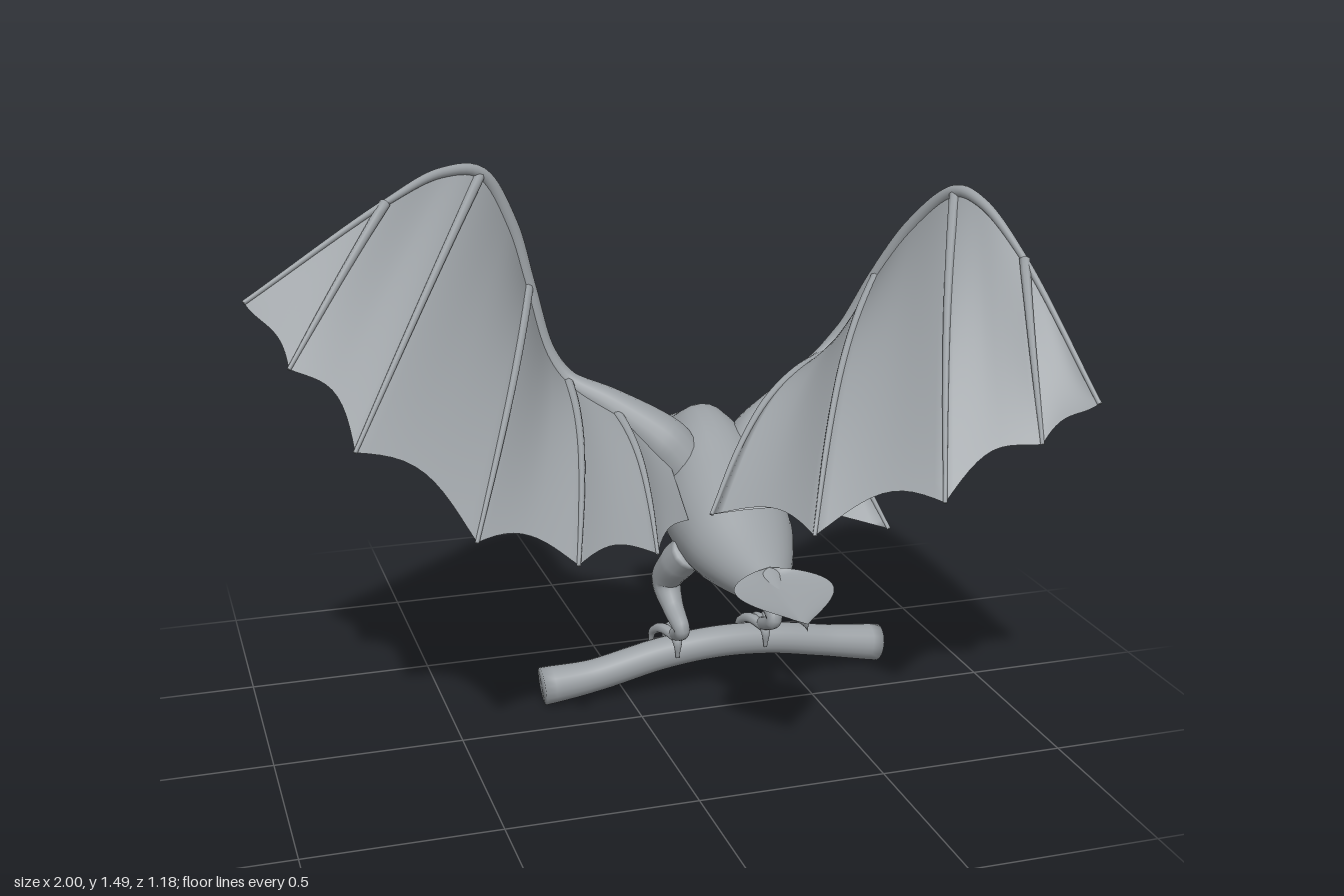
import * as THREE from 'three';
import { mergeVertices } from 'three/addons/utils/BufferGeometryUtils.js';

const V = (p) => new THREE.Vector3(...p);
const lerp = THREE.MathUtils.lerp;
const CX = 0.26; // centre line of the animal

// Weld seams and smooth the normals
function smooth(geo) {
  geo.deleteAttribute('uv');
  geo.deleteAttribute('normal');
  const g = mergeVertices(geo, 1e-5);
  g.computeVertexNormals();
  return g;
}

// Smooth surface from a rule fn(u, v) -> [x, y, z]
function surface(nu, nv, fn) {
  const pos = [], idx = [];
  for (let i = 0; i <= nu; i++) for (let j = 0; j <= nv; j++) pos.push(...fn(i / nu, j / nv));
  for (let i = 0; i < nu; i++) for (let j = 0; j < nv; j++) {
    const a = i * (nv + 1) + j, b = a + nv + 1;
    idx.push(a, a + 1, b, a + 1, b + 1, b);
  }
  const g = new THREE.BufferGeometry();
  g.setAttribute('position', new THREE.Float32BufferAttribute(pos, 3));
  g.setIndex(idx);
  return smooth(g);
}

// Tube with a radius at each path point and flat closed ends
function limb(points, radii, segs = 32, sides = 12) {
  const curve = new THREE.CatmullRomCurve3(points.map(V));
  const g = new THREE.TubeGeometry(curve, segs, 1, sides);
  const p = g.attributes.position, v = new THREE.Vector3();
  for (let i = 0; i <= segs; i++) {
    const u = i / segs, c = curve.getPointAt(u);
    const k = curve.getUtoTmapping(u) * (radii.length - 1);
    const n = Math.min(Math.floor(k), radii.length - 2);
    const end = i === 0 || i === segs;
    const r = end ? 0 : lerp(radii[n], radii[n + 1], k - n);
    const to = i === 1 ? curve.getPointAt(0) : i === segs - 1 ? curve.getPointAt(1) : c;
    for (let j = 0; j <= sides; j++) {
      const q = i * (sides + 1) + j;
      v.fromBufferAttribute(p, q).sub(c).multiplyScalar(r).add(to);
      p.setXYZ(q, v.x, v.y, v.z);
    }
  }
  return smooth(g);
}

// Points of the leading edge that carry a finger
const RIBS = [0, 1, 3, 5, 7, 8, 9];
const BOW = [0, 0.3, 0.6, 1, 1, 0.8, 0];

const WINGS = {
  rightWing: {
    edge: [[-1, 1.24, 0.01], [-0.62, 1.425, -0.18], [-0.45, 1.475, -0.29], [-0.34, 1.46, -0.335], [-0.26, 1.32, -0.35],
      [-0.215, 1.15, -0.345], [-0.17, 0.97, -0.325], [-0.12, 0.89, -0.305], [-0.01, 0.82, -0.255], [0.12, 0.72, -0.2]],
    tips: [[-1, 1.24, 0.01], [-0.915, 1.1, 0.13], [-0.79, 0.93, 0.29], [-0.53, 0.72, 0.41], [-0.28, 0.63, 0.4],
      [-0.04, 0.585, 0.27], [0.12, 0.575, 0.03]],
    bow: [0.03, 0.05, -0.03], root: [0.19, 0.63, -0.17],
  },
  leftWing: {
    edge: [[0.995, 0.98, 0.585], [0.95, 1.27, 0.24], [0.915, 1.385, 0.05], [0.89, 1.395, -0.06], [0.83, 1.28, -0.19],
      [0.765, 1.13, -0.27], [0.7, 0.98, -0.315], [0.64, 0.9, -0.32], [0.53, 0.82, -0.255], [0.4, 0.72, -0.2]],
    tips: [[0.995, 0.98, 0.585], [0.86, 0.88, 0.56], [0.61, 0.75, 0.55], [0.33, 0.64, 0.4], [0.16, 0.61, 0.1],
      [0.59, 0.585, 0.27], [0.4, 0.575, 0.03]],
    bow: [-0.02, 0.08, 0], root: [0.33, 0.63, -0.17],
  },
};

export function createModel() {
  const model = new THREE.Group();
  const grey = new THREE.MeshStandardMaterial({ color: 0x9a9fa3 });
  grey.name = 'stone grey';
  const sheet = new THREE.MeshStandardMaterial({ color: 0x9a9fa3, side: THREE.DoubleSide });
  sheet.name = 'stone grey sheet';
  const add = (name, geo, parent = model, mat = grey) => {
    const m = new THREE.Mesh(geo, mat);
    m.name = name;
    parent.add(m);
    return m;
  };

  // Body and head: z, centre height, half height, half width
  const stations = [
    [-0.595, 0.607, 0.002, 0.002], [-0.585, 0.612, 0.022, 0.035], [-0.53, 0.63, 0.058, 0.09], [-0.45, 0.63, 0.093, 0.125],
    [-0.38, 0.61, 0.14, 0.125], [-0.29, 0.595, 0.198, 0.122], [-0.2, 0.565, 0.212, 0.145], [-0.08, 0.54, 0.175, 0.16],
    [0.05, 0.51, 0.135, 0.148], [0.17, 0.478, 0.088, 0.105], [0.3, 0.455, 0.045, 0.045], [0.41, 0.445, 0.012, 0.012],
    [0.415, 0.445, 0.001, 0.001]];
  const spine = new THREE.CatmullRomCurve3(stations.map((s) => V([0, s[1], s[0]])));
  const girth = new THREE.CatmullRomCurve3(stations.map((s) => V([s[3], s[2], 0])));
  add('body', surface(60, 32, (u, v) => {
    const c = spine.getPoint(u), r = girth.getPoint(u), a = (v % 1) * Math.PI * 2;
    return [CX + Math.cos(a) * r.x, c.y + Math.sin(a) * r.y, c.z];
  }));

  // Tail fan, folded slightly along its middle
  add('tail', surface(20, 12, (u, v) => {
    const s = v * 2 - 1;
    return [CX + s * 0.13 * Math.sin(Math.PI * u ** 0.75), 0.495 - 0.045 * u + 0.02 * Math.abs(s), 0.27 + 0.275 * u];
  }), model, sheet);

  for (const [name, w] of Object.entries(WINGS)) {
    const wing = new THREE.Group();
    wing.name = name;
    model.add(wing);
    const edge = new THREE.CatmullRomCurve3(w.edge.map(V));
    const tips = w.tips.map(V), bow = V(w.bow);

    // Skin between finger i and i + 1, scalloped at the rear
    const skin = (i, f, t) => {
      const lead = edge.getPoint(lerp(RIBS[i], RIBS[i + 1], f) / 9);
      const rear = tips[i].clone().lerp(tips[i + 1], f);
      rear.lerp(lead, 0.08 * Math.sin(Math.PI * f));
      const lift = (lerp(BOW[i], BOW[i + 1], f) - 0.2 * Math.sin(Math.PI * f)) * Math.sin(Math.PI * t);
      return lead.lerp(rear, t).addScaledVector(bow, lift);
    };
    add('membrane', surface(72, 24, (u, v) => {
      const i = Math.min(Math.floor(u * 6 + 1e-9), 5);
      return skin(i, u * 6 - i, v).toArray();
    }), wing, sheet);

    // Arm along the leading edge, thick at the shoulder
    add('arm', limb([...w.edge, w.root],
      [0.006, 0.009, 0.014, 0.018, 0.02, 0.02, 0.021, 0.026, 0.048, 0.075, 0.075], 100, 16), wing);

    // Fingers
    for (let i = 1; i < 6; i++) {
      const path = [0, 0.25, 0.5, 0.75, 1].map((t) => skin(i, 0, t).toArray());
      add('finger', limb(path, [0.015, 0.012, 0.01, 0.008, 0.005], 28, 8), wing);
    }
  }

  for (const s of [-1, 1]) {
    const side = s > 0 ? 'left' : 'right';
    // Leg bent backwards at the ankle
    add(side + 'Leg', limb([[CX + s * 0.11, 0.46, -0.04], [CX + s * 0.13, 0.41, -0.09], [CX + s * 0.145, 0.335, -0.145],
      [CX + s * 0.14, 0.275, -0.105], [CX + s * 0.135, 0.23, -0.035], [CX + s * 0.13, 0.195, -0.09], [CX + s * 0.13, 0.18, -0.13]],
      [0.05, 0.052, 0.042, 0.03, 0.022, 0.019, 0.018], 48, 14));

    // Toes gripping the branch
    const foot = new THREE.Group();
    foot.name = side + 'Foot';
    model.add(foot);
    const x = CX + s * 0.13;
    for (const d of [-1, 0, 1]) {
      add('toe', limb([[x, 0.18, -0.1], [x + d * 0.022, 0.19, -0.15], [x + d * 0.038, 0.163, -0.2], [x + d * 0.042, 0.115, -0.212]],
        [0.014, 0.015, 0.012, 0.004], 18, 8), foot);
    }
    add('backToe', limb([[x, 0.19, -0.12], [x, 0.17, -0.09], [x, 0.125, -0.088]], [0.014, 0.014, 0.004], 14, 8), foot);

    // Eye and brow ridge
    const eye = add(side + 'Eye', new THREE.SphereGeometry(1, 20, 14));
    eye.scale.set(0.02, 0.024, 0.042);
    eye.position.set(CX + s * 0.118, 0.665, -0.48);
    eye.rotation.x = -0.15;
    add(side + 'Brow', limb([[CX + s * 0.095, 0.71, -0.36], [CX + s * 0.11, 0.703, -0.43], [CX + s * 0.108, 0.69, -0.49],
      [CX + s * 0.085, 0.665, -0.545]], [0.006, 0.014, 0.014, 0.005], 20, 10));
  }

  // Branch perch
  add('branch', limb([[-0.24, 0.055, -0.16], [-0.1, 0.07, -0.155], [0.1, 0.117, -0.145], [0.26, 0.135, -0.14],
    [0.42, 0.125, -0.145], [0.6, 0.09, -0.155], [0.76, 0.062, -0.16]],
    [0.054, 0.046, 0.045, 0.045, 0.045, 0.046, 0.054], 64, 18));

  return model;
}
